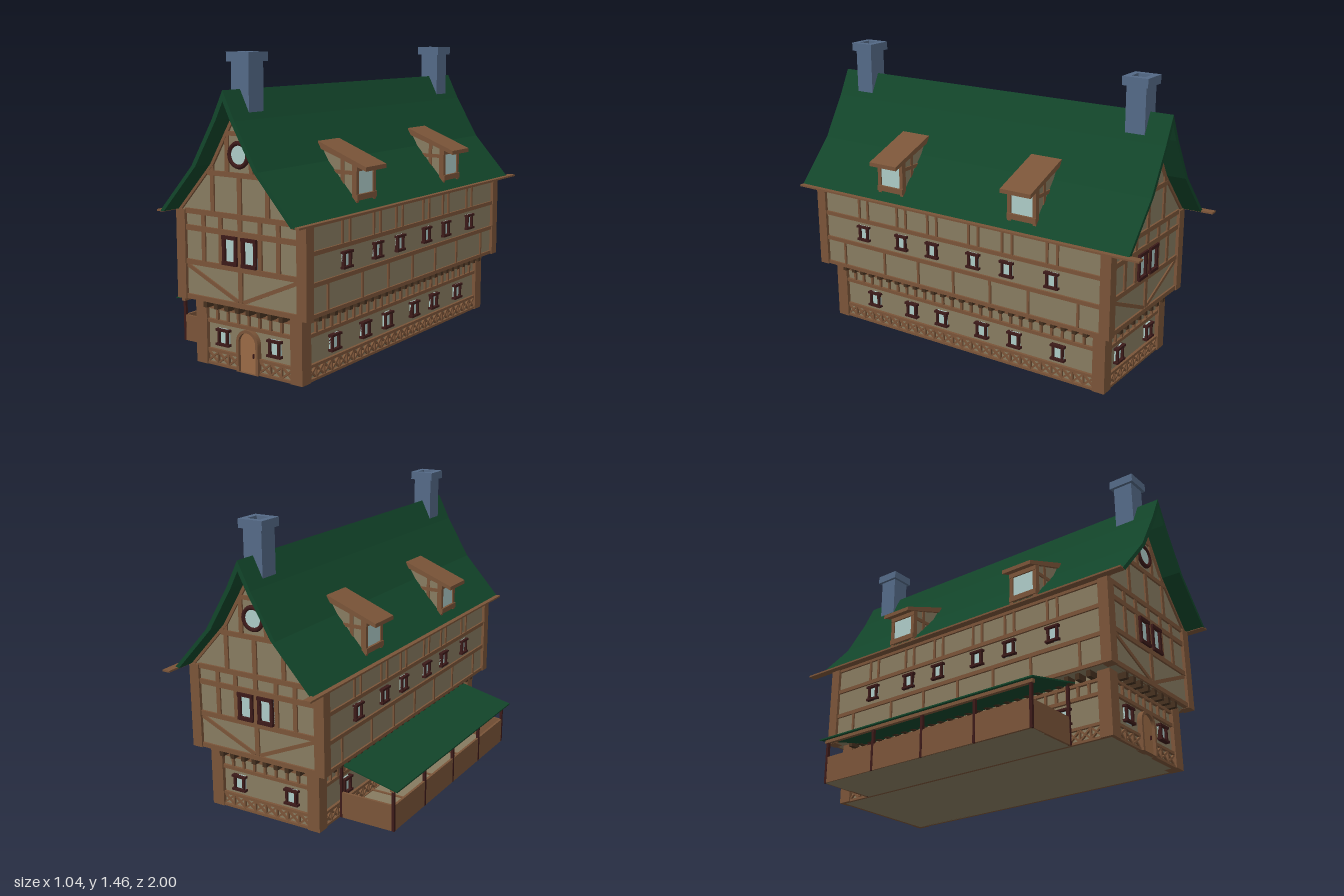
import * as THREE from 'three';

const mat = (color, extra = {}) => new THREE.MeshStandardMaterial({ color, ...extra });
const M = {
  wall: mat(0x877b60), wood: mat(0x7a5438), dark: mat(0x3c1a19), corbel: mat(0x45301f),
  glass: mat(0xadcbc7), roof: mat(0x12452a), stone: mat(0x546a87), door: mat(0x9a6a45),
};

function add(g, name, geo, m) {
  const mesh = new THREE.Mesh(geo, m);
  mesh.name = name;
  g.add(mesh);
  return mesh;
}
// Box given by its limits on each axis
function box(g, name, m, x0, x1, y0, y1, z0, z1) {
  const b = add(g, name, new THREE.BoxGeometry(x1 - x0, y1 - y0, z1 - z0), m);
  b.position.set((x0 + x1) / 2, (y0 + y1) / 2, (z0 + z1) / 2);
  return b;
}
// Slanted timber between two points of a facade
function strut(g, name, x0, y0, x1, y1, w, z0 = -0.025, z1 = -0.009) {
  const b = add(g, name, new THREE.BoxGeometry(Math.hypot(x1 - x0, y1 - y0), w, z1 - z0), M.wood);
  b.position.set((x0 + x1) / 2, (y0 + y1) / 2, (z0 + z1) / 2);
  b.rotation.z = Math.atan2(y1 - y0, x1 - x0);
}
// Polygon extruded along z, centred on z = 0
function prism(g, name, m, pts, depth) {
  const geo = new THREE.ExtrudeGeometry(new THREE.Shape(pts.map(p => new THREE.Vector2(...p))), { depth, bevelEnabled: false });
  return add(g, name, geo.translate(0, 0, -depth / 2), m);
}
const beam = (g, x0, x1, y0, y1) => box(g, 'beam', M.wood, x0, x1, y0, y1, -0.03, -0.006);
const stud = (g, x, y0, y1, w = 0.022) => box(g, 'stud', M.wood, x - w / 2, x + w / 2, y0, y1, -0.03, -0.008);

// Facade group: local x along the wall, z outwards, z = 0 at the outer face of the posts
function facade(parent, name, dist, angle) {
  const g = new THREE.Group();
  g.name = name;
  g.rotation.y = angle;
  g.position.set(Math.sin(angle) * dist, 0, Math.cos(angle) * dist);
  parent.add(g);
  return g;
}
function windowAt(g, x, y, w, h, t = 0.011, lip = 0.008) {
  const a = w / 2, b = h / 2;
  box(g, 'windowPane', M.glass, x - a, x + a, y - b, y + b, -0.03, -0.012);
  for (const s of [-1, 1]) {
    box(g, 'windowJamb', M.dark, x + s * (a - t / 2) - t / 2, x + s * (a - t / 2) + t / 2, y - b, y + b, -0.03, 0);
    const yc = y + s * (b - t / 2);
    box(g, s > 0 ? 'windowLintel' : 'windowSill', M.dark, x - a - lip, x + a + lip, yc - t / 2, yc + t / 2, -0.03, 0.004);
  }
}

const LX = 0.313, LZ = 0.828, UX = 0.378, UZ = 0.88, EAVE = 0.735;
const sideWindows = [-0.57, -0.32, -0.125, 0.125, 0.32, 0.57];

// Flared roof half-profile: distance from ridge, height
const profile = [[0, 1.295], [0.065, 1.165], [0.19, 0.955], [0.39, EAVE]];
function halfWidth(y) {
  for (let i = 0; i < 3; i++) {
    const [x0, y0] = profile[i], [x1, y1] = profile[i + 1];
    if (y >= y1) return x0 + (x1 - x0) * (y0 - y) / (y0 - y1);
  }
  return 0.39;
}
// Full profile from left eave to right eave, moved inwards by t
function gableLine(t) {
  const right = profile.map(([x, y], i) => (i ? [x - t, y] : [0, y - 2 * t]));
  return [...right.slice(1).reverse().map(([x, y]) => [-x, y]), ...right];
}
const band = (t0, t1) => [...gableLine(t0), ...gableLine(t1).reverse()];

function lowerFacade(g, half, windows, hasDoor) {
  const w = half - 0.06;
  for (const [a, b] of hasDoor ? [[-w, -0.06], [0.06, w]] : [[-w, w]]) {
    beam(g, a, b, 0, 0.012);
    beam(g, a, b, 0.064, 0.078);
    // Crossed braces along the base
    const n = Math.round((b - a) / 0.06), s = (b - a) / n;
    for (let i = 0; i < n; i++) {
      const x = a + i * s;
      strut(g, 'crossBrace', x, 0.012, x + s, 0.064, 0.009);
      strut(g, 'crossBrace', x, 0.064, x + s, 0.012, 0.009, -0.025, -0.011);
      if (i) stud(g, x, 0.01, 0.066, 0.008);
    }
  }
  beam(g, -w, w, 0.203, 0.22);
  beam(g, -w, w, 0.27, 0.286);
  const n = Math.round(2 * w / 0.06);
  for (let i = 0; i <= n; i++) stud(g, -w + 2 * w * i / n, 0.215, 0.275, 0.012);
  // Joist ends carrying the overhang
  for (let i = 0; i < n; i++) {
    const x = -w + 2 * w * (i + 0.5) / n;
    box(g, 'corbel', M.corbel, x - 0.011, x + 0.011, 0.284, 0.316, -0.03, 0.035);
  }
  windows.forEach(x => windowAt(g, x, 0.142, 0.062, 0.08));
}

function upperSide(g) {
  const w = UZ - 0.05;
  for (const [a, b] of [[0.315, 0.333], [0.453, 0.473], [0.592, 0.612], [0.717, EAVE]]) beam(g, -w, w, a, b);
  for (const x of [-0.71, -0.44, -0.22, 0, 0.22, 0.44, 0.71]) stud(g, x, 0.33, 0.455, 0.012);
  for (const x of sideWindows) {
    windowAt(g, x, 0.535, 0.06, 0.08);
    for (const s of [-1, 1]) stud(g, x + s * 0.028, 0.61, 0.72, 0.012);
  }
}

function upperEnd(g) {
  const w = UX - 0.05;
  for (const [a, b] of [[0.315, 0.338], [0.48, 0.504], [0.64, 0.665], [0.718, 0.742]]) beam(g, -w, w, a, b);
  stud(g, 0, 0.33, 0.74, 0.024);
  for (const s of [-1, 1]) {
    strut(g, 'brace', s * 0.015, 0.342, s * 0.32, 0.475, 0.018);
    stud(g, s * 0.218, 0.5, 0.72);
    stud(g, s * 0.115, 0.5, 0.72);
    windowAt(g, s * 0.056, 0.573, 0.086, 0.135, 0.016, 0);
    stud(g, s * 0.16, 0.74, 0.97);
    stud(g, s * 0.07, 0.92, 1.1);
  }
  // Gable timbers and round window
  for (const [a, b] of [[0.905, 0.928], [1.09, 1.11]]) beam(g, 0.03 - halfWidth(b), halfWidth(b) - 0.03, a, b);
  stud(g, 0, 0.74, 0.91, 0.024);
  stud(g, 0, 1.1, 1.24, 0.024);
  add(g, 'roundWindowFrame', new THREE.TorusGeometry(0.052, 0.011, 8, 24), M.dark).position.set(0, 1.007, -0.01);
  add(g, 'roundWindowPane', new THREE.CylinderGeometry(0.05, 0.05, 0.02, 24).rotateX(Math.PI / 2), M.glass).position.set(0, 1.007, -0.018);
}

function arch(r, h) {
  const s = new THREE.Shape();
  s.moveTo(-r, 0).lineTo(r, 0).lineTo(r, h).absarc(0, h, r, 0, Math.PI, false).lineTo(-r, 0);
  return s;
}
function addDoor(g) {
  const frame = arch(0.064, 0.14);
  frame.holes.push(arch(0.05, 0.14));
  const opts = depth => ({ depth, bevelEnabled: false, curveSegments: 12 });
  add(g, 'doorFrame', new THREE.ExtrudeGeometry(frame, opts(0.035)), M.wood).position.z = -0.03;
  add(g, 'door', new THREE.ExtrudeGeometry(arch(0.05, 0.14), opts(0.02)), M.door).position.z = -0.03;
  box(g, 'doorHandle', M.dark, 0.027, 0.032, 0.075, 0.095, -0.012, -0.003);
}

function addDormer(parent, z, angle) {
  const g = new THREE.Group();
  g.name = 'dormer';
  g.position.z = z;
  g.rotation.y = angle;
  parent.add(g);
  prism(g, 'dormerBody', M.wall, [[0.12, 1.03], [0.345, 0.945], [0.345, 0.765], [0.12, 0.96]], 0.14);
  prism(g, 'dormerRoof', M.wood, [[0.14, 1.045], [0.14, 1.015], [0.408, 0.922], [0.408, 0.942]], 0.168);
  for (const s of [-1, 1]) {
    const zc = s * 0.07;
    box(g, 'dormerPost', M.wood, 0.328, 0.354, 0.765, 0.95, zc - 0.01, zc + 0.01);
    box(g, 'dormerSideBeam', M.wood, 0.2, 0.345, 0.9, 0.918, zc - 0.006, zc + 0.006);
    box(g, 'dormerSideStud', M.wood, 0.262, 0.28, 0.84, 0.97, zc - 0.005, zc + 0.005);
  }
  box(g, 'dormerSill', M.wood, 0.33, 0.36, 0.785, 0.812, -0.08, 0.08);
  box(g, 'dormerLintel', M.wood, 0.33, 0.356, 0.918, 0.945, -0.08, 0.08);
  box(g, 'dormerPane', M.glass, 0.33, 0.348, 0.81, 0.92, -0.06, 0.06);
}

function addChimney(parent, z) {
  const g = new THREE.Group();
  g.name = 'chimney';
  g.position.z = z;
  parent.add(g);
  box(g, 'chimneyShaft', M.stone, -0.05, 0.05, 1.16, 1.425, -0.05, 0.05);
  const square = r => [[-r, -r], [r, -r], [r, r], [-r, r]].map(p => new THREE.Vector2(...p));
  const cap = new THREE.Shape(square(0.065));
  cap.holes.push(new THREE.Path(square(0.035)));
  const geo = new THREE.ExtrudeGeometry(cap, { depth: 0.042, bevelEnabled: false });
  add(g, 'chimneyCap', geo.rotateX(-Math.PI / 2), M.stone).position.y = 1.414;
}

function addPorch(parent) {
  const g = new THREE.Group();
  g.name = 'porch';
  g.position.z = -0.015;
  parent.add(g);
  box(g, 'porchFloor', M.wall, -0.598, -0.3, 0, 0.008, -0.62, 0.62);
  box(g, 'porchOuterWall', M.wood, -0.604, -0.592, 0, 0.132, -0.62, 0.62);
  box(g, 'porchRail', M.wood, -0.607, -0.588, 0.205, 0.222, -0.635, 0.635);
  for (let i = 0; i < 5; i++) {
    const z = -0.62 + i * 0.31;
    box(g, 'porchPost', M.dark, -0.605, -0.591, 0, 0.222, z - 0.007, z + 0.007);
    box(g, 'porchJoist', M.wood, -0.598, -0.3, 0.001, 0.014, z - 0.006, z + 0.006);
  }
  for (const z of [-0.62, 0.62]) {
    box(g, 'porchEndWall', M.wood, -0.598, -0.31, 0, 0.132, z - 0.006, z + 0.006);
    box(g, 'porchWallPost', M.dark, -0.32, -0.308, 0, 0.285, z - 0.007, z + 0.007);
  }
  prism(g, 'porchRoof', M.roof, [[-0.633, 0.215], [-0.3, 0.293], [-0.3, 0.3], [-0.633, 0.222]], 1.3);
}

export function createModel() {
  const model = new THREE.Group();
  model.name = 'timberedHouse';
  const house = new THREE.Group();
  house.name = 'house';
  house.position.set(0.108, 0, 0.03);
  model.add(house);

  // Plastered storeys and corner posts
  box(house, 'lowerWalls', M.wall, 0.02 - LX, LX - 0.02, 0, 0.318, 0.02 - LZ, LZ - 0.02);
  box(house, 'upperWalls', M.wall, 0.016 - UX, UX - 0.016, 0.315, EAVE, 0.016 - UZ, UZ - 0.016);
  for (const sx of [-1, 1]) for (const sz of [-1, 1]) {
    const post = (name, x, z, w, y0, y1) => box(house, name, M.wood,
      sx * (x - w / 2) - w / 2, sx * (x - w / 2) + w / 2, y0, y1, sz * (z - w / 2) - w / 2, sz * (z - w / 2) + w / 2);
    post('lowerCornerPost', LX, LZ, 0.066, 0, 0.316);
    post('upperCornerPost', UX, UZ, 0.054, 0.313, EAVE);
  }

  // Timbered faces
  for (const s of [1, -1]) {
    const end = s > 0 ? 0 : Math.PI, front = s > 0;
    const low = facade(house, front ? 'lowerFront' : 'lowerBack', LZ, end);
    lowerFacade(low, LX, [-0.152, 0.152], front);
    if (front) addDoor(low);
    upperEnd(facade(house, front ? 'upperFront' : 'upperBack', UZ, end));
    lowerFacade(facade(house, 'lowerSide', LX, s * Math.PI / 2), LZ, sideWindows, false);
    upperSide(facade(house, 'upperSide', UX, s * Math.PI / 2));
  }

  // Roof, gable walls and rafters
  prism(house, 'attic', M.wall, gableLine(0.02), 2 * (UZ - 0.016));
  prism(house, 'gableRafters', M.wood, band(0.02, 0.042), 2 * (UZ - 0.006));
  prism(house, 'roof', M.roof, band(0, 0.024), 1.94);
  for (const s of [-1, 1]) {
    const x = s * 0.39;
    box(house, 'eaveBoard', M.wood, x - 0.02, x + 0.02, 0.732, 0.741, -1.03, 0.97);
    addChimney(house, s * 0.805);
    for (const a of [0, Math.PI]) addDormer(house, s * 0.393, a);
  }
  addPorch(house);
  return model;
}
